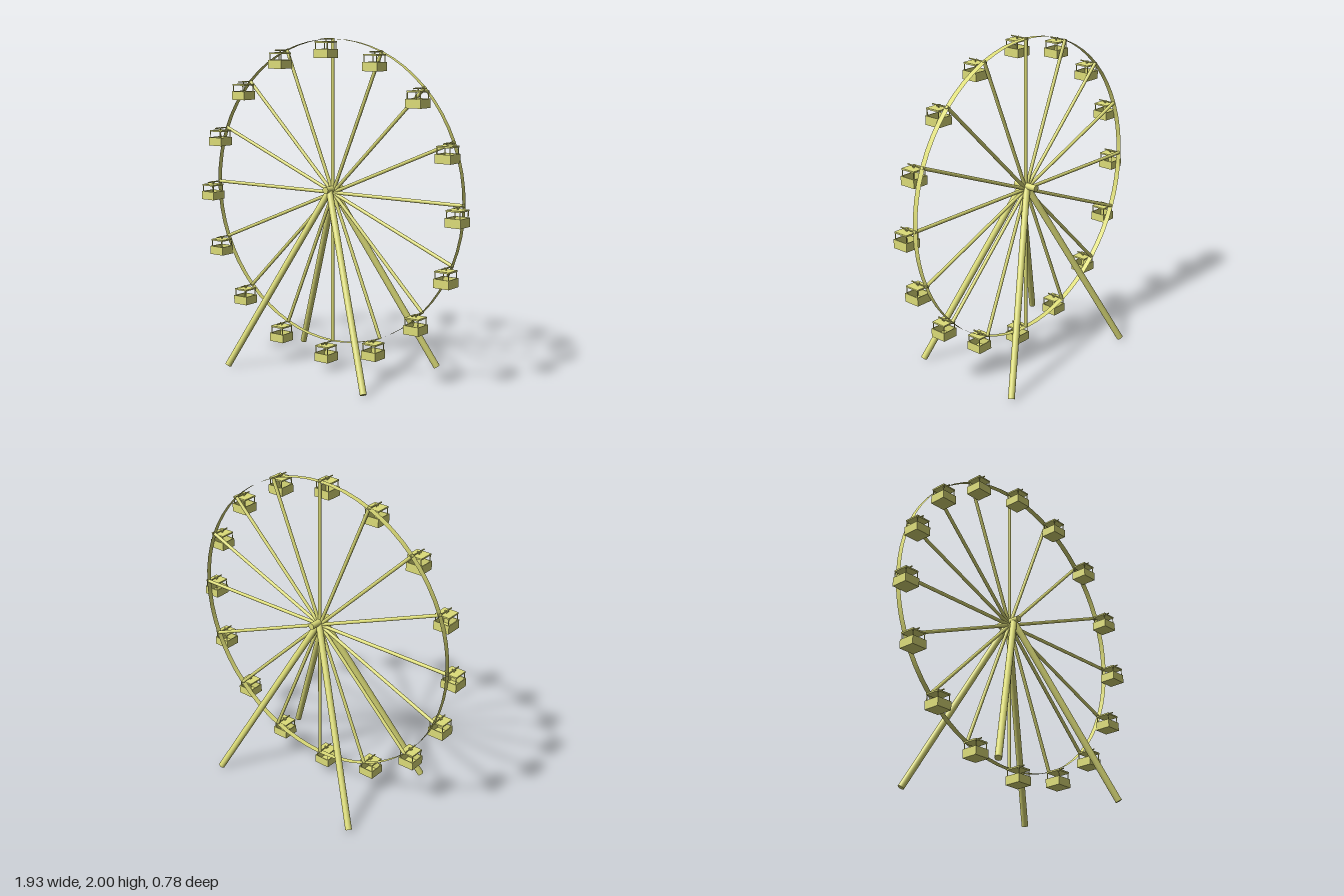
import * as THREE from 'three';

const paint = new THREE.MeshStandardMaterial({ color: 0xdcdc78 });
const paintThin = new THREE.MeshStandardMaterial({ color: 0xdcdc78, side: THREE.DoubleSide });

const HUB_Y = 1.077, RADIUS = 0.914, WHEEL_Z = -0.018, COUNT = 16;

function add(parent, name, geometry, x = 0, y = 0, z = 0, material = paint) {
  const mesh = new THREE.Mesh(geometry, material);
  mesh.name = name;
  mesh.position.set(x, y, z);
  parent.add(mesh);
  return mesh;
}

// Round bar between two points
function bar(parent, name, a, b, radius, sides = 16) {
  const from = new THREE.Vector3(...a), to = new THREE.Vector3(...b);
  const dir = to.clone().sub(from);
  const mesh = add(parent, name, new THREE.CylinderGeometry(radius, radius, dir.length(), sides));
  mesh.position.copy(from).add(to).multiplyScalar(0.5);
  mesh.quaternion.setFromUnitVectors(new THREE.Vector3(0, 1, 0), dir.normalize());
}

// Hanging cabin; its origin is the end of a spoke
function createCabin() {
  const cabin = new THREE.Group();
  cabin.name = 'cabin';
  const cz = 0.05, w = 0.102, t = 0.005, top = -0.058, bottom = -0.11;
  const h = top - bottom, midY = (top + bottom) / 2;

  // Pivot rod with a cross pin and hanger down to the roof
  bar(cabin, 'pivotRod', [0, 0, -0.03], [0, 0, 0.095], 0.004, 10);
  bar(cabin, 'crossPin', [-0.012, 0, cz - 0.002], [0.012, 0, cz - 0.002], 0.004, 10);
  bar(cabin, 'hanger', [0, -0.016, cz - 0.002], [0, 0, cz - 0.002], 0.004, 10);

  // Roof and corner posts
  add(cabin, 'roof', new THREE.BoxGeometry(0.094, 0.009, 0.094), 0, -0.0175, cz);
  for (const sx of [-1, 1]) for (const sz of [-1, 1])
    bar(cabin, 'post', [sx * 0.043, top - 0.01, cz + sz * 0.043], [sx * 0.043, -0.017, cz + sz * 0.043], 0.003, 8);

  // Open tub: floor and four walls
  add(cabin, 'floor', new THREE.BoxGeometry(w, t, w), 0, bottom + t / 2, cz);
  for (const s of [-1, 1]) {
    add(cabin, 'sideWall', new THREE.BoxGeometry(t, h, w), s * (w - t) / 2, midY, cz);
    add(cabin, 'endWall', new THREE.BoxGeometry(w, h, t), 0, midY, cz + s * (w - t) / 2);
  }
  return cabin;
}

export function createModel() {
  const model = new THREE.Group();
  model.name = 'ferrisWheel';

  // Thin band that forms the rim
  const rim = add(model, 'rim', new THREE.CylinderGeometry(RADIUS, RADIUS, 0.034, 64, 1, true), 0, HUB_Y, WHEEL_Z, paintThin);
  rim.rotation.x = Math.PI / 2;

  // Spokes, their tips just through the rim, each with a cabin
  for (let i = 0; i < COUNT; i++) {
    const a = (i / COUNT) * Math.PI * 2;
    const dx = Math.cos(a), dy = Math.sin(a), tip = RADIUS + 0.005;
    bar(model, 'spoke', [0, HUB_Y, WHEEL_Z], [dx * tip, HUB_Y + dy * tip, WHEEL_Z], 0.0105, 12);
    const cabin = createCabin();
    cabin.position.set(dx * RADIUS, HUB_Y + dy * RADIUS, 0);
    model.add(cabin);
  }

  // Axle
  bar(model, 'axle', [0, 1.097, -0.1], [0, 1.097, 0.058], 0.02, 20);

  // Four splayed support legs, the back left one set slightly wider
  for (const sx of [-1, 1]) for (const sz of [-1, 1]) {
    const footX = sx > 0 && sz < 0 ? 0.528 : sx * 0.51;
    bar(model, 'supportLeg', [0, 1.09, sz * 0.022 - 0.005], [footX, 0.01, sz * 0.37], 0.02, 16);
  }

  return model;
}
